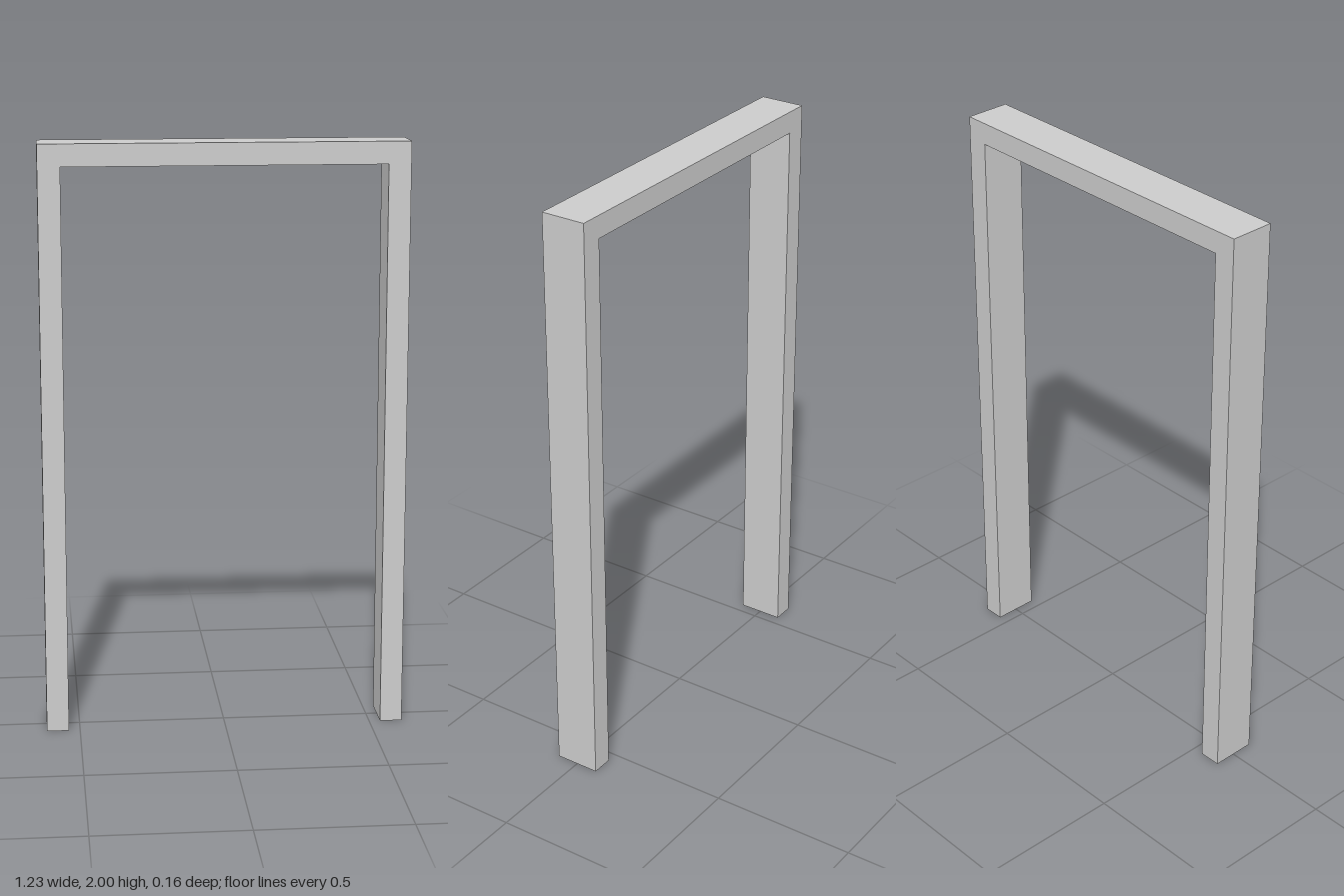
import * as THREE from 'three';

const HALF_WIDTH = 0.613;
const HEIGHT = 2;
const THICKNESS = 0.075;
const DEPTH = 0.155;

export function createModel() {
  const group = new THREE.Group();
  group.name = 'doorFrame';
  const inner = HALF_WIDTH - THICKNESS;
  const lintelBottom = HEIGHT - THICKNESS;

  // Two jambs and the lintel as one continuous outline, open at the floor
  const outline = new THREE.Shape([
    [-HALF_WIDTH, 0], [-inner, 0], [-inner, lintelBottom], [inner, lintelBottom],
    [inner, 0], [HALF_WIDTH, 0], [HALF_WIDTH, HEIGHT], [-HALF_WIDTH, HEIGHT],
  ].map(([x, y]) => new THREE.Vector2(x, y)));

  const geometry = new THREE.ExtrudeGeometry(outline, { depth: DEPTH, bevelEnabled: false });
  geometry.translate(0, 0, -DEPTH / 2);

  const frame = new THREE.Mesh(geometry, new THREE.MeshStandardMaterial({ color: 0xcccccc }));
  frame.name = 'jambsAndLintel';
  group.add(frame);
  return group;
}
